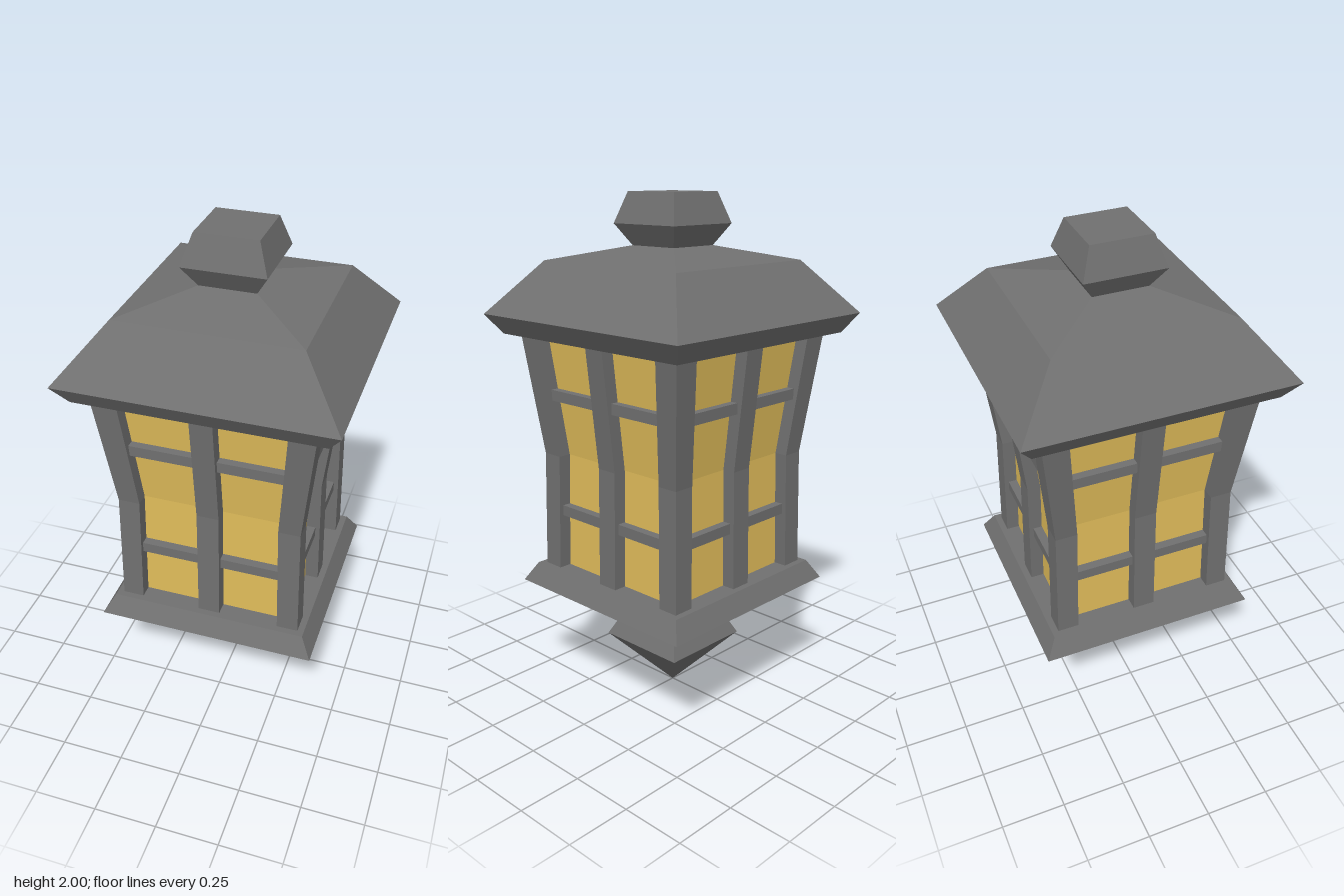
import * as THREE from 'three';

const iron = new THREE.MeshStandardMaterial({ color: 0x707070, flatShading: true });
iron.name = 'dark iron';
const amber = new THREE.MeshStandardMaterial({ color: 0xe0bc5a, flatShading: true });
amber.name = 'amber glass';

const BOTTOM = 0.53, BEND = 1.0, TOP = 1.48;

// Value at height y of a line that bends at mid height
function bent(y, [low, mid, high]) {
  return y < BEND
    ? THREE.MathUtils.mapLinear(y, BOTTOM, BEND, low, mid)
    : THREE.MathUtils.mapLinear(y, BEND, TOP, mid, high);
}
const OUTER = [0.362, 0.355, 0.41];
const INNER = [0.279, 0.271, 0.311];
const GLASS = [0.31, 0.303, 0.358];

// Square solid turned from a profile of [half width, height]
function squareTurned(name, profile) {
  const points = profile.map(([w, y]) => new THREE.Vector2(w * Math.SQRT2, y));
  const geometry = new THREE.LatheGeometry(points, 4, Math.PI / 4);
  const mesh = new THREE.Mesh(geometry, iron);
  mesh.name = name;
  return mesh;
}

// Bent upright: place(sx, sz, y) gives x and z of each corner (sx, sz = -1 or 1)
function upright(name, material, place) {
  const geometry = new THREE.BoxGeometry(2, 2, 2, 1, 2, 1);
  const p = geometry.attributes.position;
  for (let i = 0; i < p.count; i++) {
    const y = [BOTTOM, BEND, TOP][Math.round(p.getY(i)) + 1];
    const [x, z] = place(p.getX(i), p.getZ(i), y);
    p.setXYZ(i, x, y, z);
  }
  geometry.computeVertexNormals();
  const mesh = new THREE.Mesh(geometry, material);
  mesh.name = name;
  return mesh;
}

export function createModel() {
  const lantern = new THREE.Group();
  lantern.name = 'lantern';

  // Pointed finial and flared base tray
  lantern.add(squareTurned('base', [
    [0, 0], [0.19, 0.215], [0.128, 0.342], [0.43, 0.46], [0.387, 0.535], [0, 0.535],
  ]));

  // Stepped roof with a small cap
  lantern.add(squareTurned('roof', [
    [0, 1.475], [0.457, 1.475], [0.507, 1.55], [0.34, 1.75],
    [0.106, 1.805], [0.155, 1.885], [0.117, 2], [0, 2],
  ]));

  // Glass body
  lantern.add(upright('glass', amber, (sx, sz, y) => {
    const g = bent(y, GLASS);
    return [sx * g, sz * g];
  }));

  // Each side: one corner post, a centre mullion and two crossbars
  for (let i = 0; i < 4; i++) {
    const side = new THREE.Group();
    side.name = 'frameSide' + (i + 1);
    side.rotation.y = i * Math.PI / 2;

    side.add(upright('cornerPost', iron, (sx, sz, y) => [
      bent(y, sx > 0 ? OUTER : INNER), bent(y, sz > 0 ? OUTER : INNER),
    ]));
    side.add(upright('mullion', iron, (sx, sz, y) => [
      sx * 0.043, bent(y, OUTER) - (sz > 0 ? 0 : 0.08),
    ]));

    for (const y of [0.775, 1.245]) {
      const bar = new THREE.Mesh(
        new THREE.BoxGeometry(2 * bent(y, INNER) + 0.01, 0.042, 0.06), iron);
      bar.name = 'crossbar';
      bar.position.set(0, y, bent(y, OUTER) - 0.048);
      side.add(bar);
    }
    lantern.add(side);
  }
  return lantern;
}
